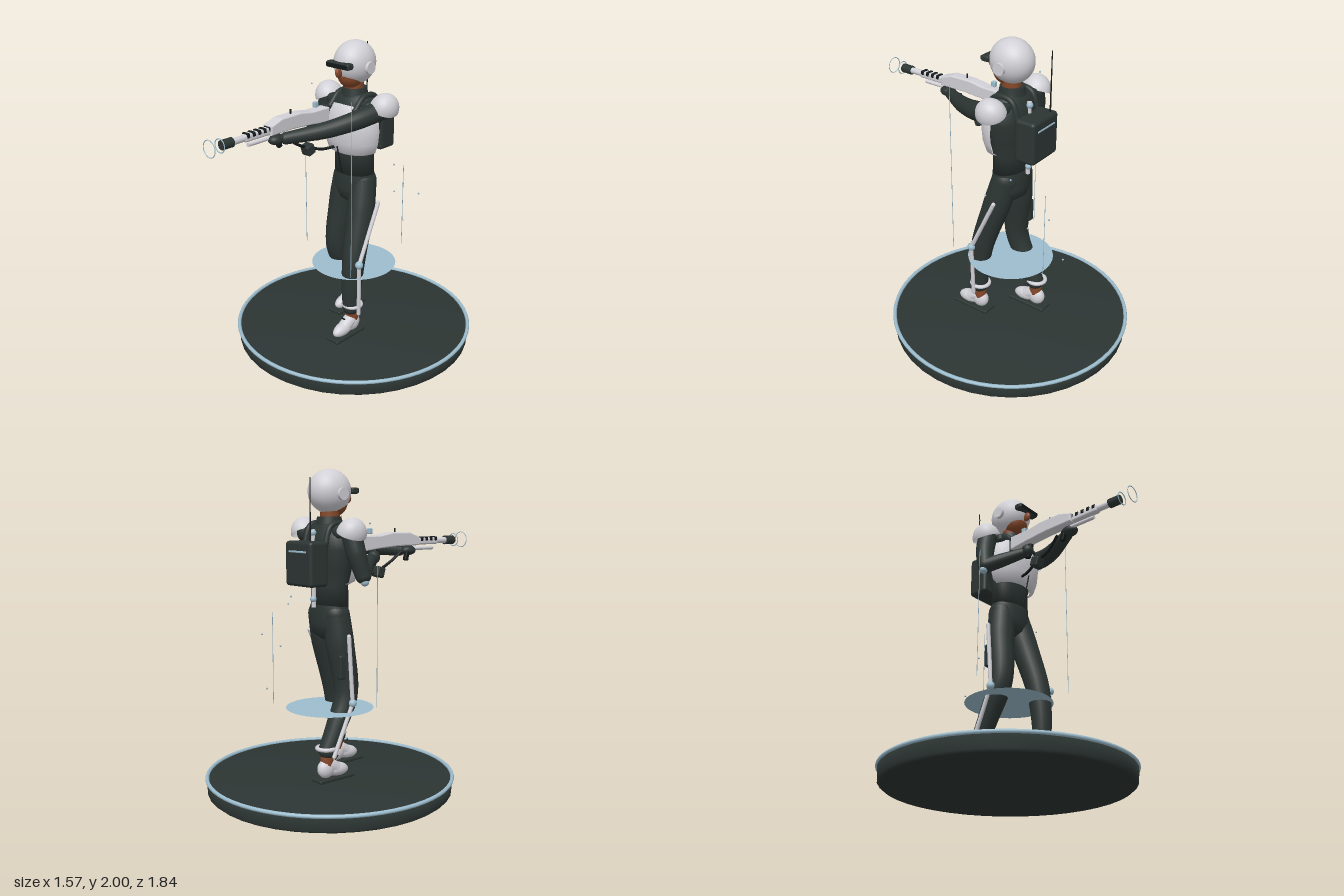
import * as THREE from 'three';
import { RoundedBoxGeometry } from 'three/addons/geometries/RoundedBoxGeometry.js';

const V = (a) => new THREE.Vector3(a[0], a[1], a[2]);

export function createModel() {
  const model = new THREE.Group();
  model.name = 'armouredFigureOnStand';
  const paint = (name, color, side = THREE.FrontSide) => {
    const m = new THREE.MeshStandardMaterial({ color, side });
    m.name = name;
    return m;
  };
  const suit = paint('darkSuit', 0x2c3533);
  const armour = paint('whiteArmour', 0xd0d0d6, THREE.DoubleSide);
  const blue = paint('paleBlue', 0x9cbccd, THREE.DoubleSide);
  const skin = paint('brownSkin', 0x84472a);
  const black = paint('black', 0x14191a);

  // Helpers: placed mesh, ellipsoid, straight rod, tapered limb, box, ring
  const add = (name, geo, mat, pos = [0, 0, 0], rot = [0, 0, 0]) => {
    const mesh = new THREE.Mesh(geo, mat);
    mesh.name = name;
    mesh.position.set(...pos);
    mesh.rotation.set(...rot);
    model.add(mesh);
    return mesh;
  };
  const ball = (name, mat, pos, r, rot) => {
    const s = Array.isArray(r) ? r : [r, r, r];
    return add(name, new THREE.SphereGeometry(1, 32, 20).scale(...s), mat, pos, rot);
  };
  const rod = (name, mat, a, b, r, r2 = r, seg = 16) => {
    const p = V(a), q = V(b), d = q.clone().sub(p);
    const mesh = add(name, new THREE.CylinderGeometry(r2, r, d.length(), seg), mat);
    mesh.position.copy(p).add(q).multiplyScalar(0.5);
    mesh.quaternion.setFromUnitVectors(new THREE.Vector3(0, 1, 0), d.normalize());
    return mesh;
  };
  const limb = (name, mat, pts) => {
    const curve = new THREE.CatmullRomCurve3(pts.map(V));
    const n = 32, sides = 20, geo = new THREE.TubeGeometry(curve, n, 1, sides);
    const pos = geo.attributes.position, v = new THREE.Vector3();
    for (let i = 0; i < pos.count; i++) {
      const u = Math.floor(i / (sides + 1)) / n;
      const c = curve.getPointAt(u), f = curve.getUtoTmapping(u) * (pts.length - 1);
      const k = Math.min(Math.floor(f), pts.length - 2);
      const r = THREE.MathUtils.lerp(pts[k][3], pts[k + 1][3], f - k);
      v.fromBufferAttribute(pos, i).sub(c).multiplyScalar(r).add(c);
      pos.setXYZ(i, v.x, v.y, v.z);
    }
    geo.computeVertexNormals();
    add(name, geo, mat);
    for (const p of [pts[0], pts[pts.length - 1]]) ball(name + 'End', mat, p, p[3]);
  };
  const box = (name, mat, pos, size, r = 0.008, rot) =>
    add(name, new RoundedBoxGeometry(...size, 3, r), mat, pos, rot);
  const ring = (name, mat, pos, R, r, rot) =>
    add(name, new THREE.TorusGeometry(R, r, 10, 64), mat, pos, rot);
  const lathe = (name, mat, pts, pos, sz, start = 0, len = Math.PI * 2) =>
    add(name, new THREE.LatheGeometry(pts.map((p) => new THREE.Vector2(...p)), 40, start, len).scale(1, 1, sz), mat, pos);
  const flat = [Math.PI / 2, 0, 0];
  const cz = -0.133;

  // Stand with pale rim, and the scanning disc around the knees
  lathe('standDisc', suit, [[0, 0], [0.75, 0], [0.768, 0.015], [0.774, 0.1], [0, 0.105]], [0, 0, cz], 1);
  ring('standRim', blue, [0, 0.103, cz], 0.771, 0.012, flat);
  add('scanDisc', new THREE.CircleGeometry(0.275, 64), blue, [0, 0.53, cz], [-Math.PI / 2, 0, 0]);

  // Light streaks and drifting specks
  for (const [x, z, y0, y1] of [[-0.365, -0.065, 0.585, 1.435], [0.23, 0.153, 0.595, 1.72], [0.13, -0.471, 0.58, 1.145]])
    rod('lightStreak', blue, [x, y0, z], [x, y1, z], 0.002, 0.002, 6);
  for (const p of [[-0.335, 1.68, -0.1], [0.205, 1.22, -0.275], [0.345, 1.155, -0.195], [0.275, 0.99, -0.45], [0.065, 0.945, -0.46], [0.06, 0.7, -0.567]])
    ball('speck', blue, p, 0.006);

  // Head: skin, helmet, visor, ear discs
  ball('face', skin, [0, 1.8, -0.095], [0.08, 0.085, 0.085]);
  ball('helmet', armour, [0, 1.866, -0.13], [0.122, 0.134, 0.139]);
  ball('nose', skin, [0, 1.825, 0.01], [0.016, 0.032, 0.03]);
  box('visor', suit, [0, 1.87, 0.005], [0.18, 0.038, 0.055], 0.012);
  box('visorGlass', black, [0, 1.87, 0.033], [0.165, 0.024, 0.008], 0.003);
  for (const s of [-1, 1])
    add('earDisc', new THREE.CylinderGeometry(0.037, 0.037, 0.03, 32), armour, [s * 0.12, 1.85, -0.127], [0, 0, Math.PI / 2]);
  rod('neck', skin, [0, 1.64, -0.13], [0, 1.77, -0.125], 0.06);
  rod('collar', suit, [0, 1.64, cz], [0, 1.715, cz], 0.088, 0.074, 32);

  // Torso, chest plate, pelvis
  lathe('torso', suit, [[0, 1.16], [0.14, 1.17], [0.138, 1.3], [0.165, 1.4], [0.185, 1.52], [0.175, 1.6], [0.13, 1.66], [0.07, 1.69], [0, 1.69]], [0, 0, cz], 0.7);
  lathe('chestPlate', armour, [[0.14, 1.31], [0.175, 1.325], [0.198, 1.39], [0.207, 1.47], [0.197, 1.55], [0.16, 1.61], [0.11, 1.64]], [0, 0, -0.125], 0.75, -Math.PI / 2, Math.PI);
  lathe('pelvis', suit, [[0, 0.96], [0.06, 0.965], [0.125, 1.0], [0.152, 1.07], [0.142, 1.17], [0.13, 1.2]], [0, 0, -0.135], 0.7);
  rod('frontCable', black, [0, 1.19, -0.015], [0, 1.37, 0.028], 0.004);
  box('yoke', suit, [0, 1.62, cz], [0.36, 0.07, 0.15], 0.03);

  // Spine tube with joints, backpack, aerial
  rod('spineTube', armour, [0, 1.17, -0.255], [0, 1.64, -0.255], 0.014);
  for (const y of [1.22, 1.62]) ball('spineJoint', blue, [0, y, -0.258], 0.02);
  box('backpack', suit, [0, 1.437, -0.308], [0.255, 0.27, 0.138], 0.022);
  box('packStripe', blue, [0, 1.51, -0.377], [0.17, 0.012, 0.007], 0.003);
  rod('aerial', black, [-0.085, 1.55, -0.345], [-0.085, 1.945, -0.345], 0.005, 0.003, 8);
  for (const s of [-1, 1])
    limb('packStrap', suit, [[s * 0.1, 1.52, -0.25, 0.018], [s * 0.1, 1.66, -0.2, 0.018], [s * 0.1, 1.67, -0.1, 0.018], [s * 0.1, 1.6, -0.02, 0.018]]);

  // Shoulder domes, tilted outward
  for (const s of [-1, 1]) {
    const dome = new THREE.SphereGeometry(1, 32, 14, 0, Math.PI * 2, 0, Math.PI / 2).scale(0.086, 0.1, 0.095);
    add('shoulderPad', dome, armour, [s * 0.222, 1.613, -0.145], [0, 0, -s * 0.42]);
  }

  // Arms and gloves
  limb('leftArm', suit, [[0.215, 1.61, -0.14, 0.062], [0.16, 1.57, 0.02, 0.058], [0.06, 1.525, 0.19, 0.05], [-0.07, 1.495, 0.39, 0.036]]);
  ball('leftGlove', suit, [-0.1, 1.495, 0.44], [0.042, 0.032, 0.055]);
  limb('rightUpperArm', suit, [[-0.22, 1.61, -0.14, 0.062], [-0.25, 1.5, -0.13, 0.06], [-0.277, 1.37, -0.1, 0.048]]);
  limb('rightForearm', suit, [[-0.277, 1.37, -0.1, 0.048], [-0.21, 1.41, -0.02, 0.044], [-0.135, 1.455, 0.09, 0.034]]);
  ball('rightGlove', suit, [-0.125, 1.465, 0.12], [0.038, 0.042, 0.042]);
  ball('elbowJoint', blue, [-0.292, 1.335, -0.1], 0.026);

  // Legs: s = side, dz = shift of knee, shin and foot
  const leg = (name, s, kneeZ, shinZ, ankleZ, footZ, strutKnee) => {
    limb(name, suit, [[s * 0.07, 1.12, -0.138, 0.085], [s * 0.092, 0.95, (kneeZ - 0.138 * 2.2) / 3.2, 0.088], [s * 0.118, 0.63, kneeZ, 0.074], [s * 0.122, 0.44, shinZ, 0.064], [s * 0.122, 0.3, ankleZ, 0.056]]);
    rod(name + 'Ankle', skin, [s * 0.122, 0.2, ankleZ - 0.01], [s * 0.122, 0.28, ankleZ], 0.04);
    ring(name + 'Cuff', armour, [s * 0.124, 0.315, ankleZ - 0.01], 0.057, 0.013, flat);
    // Boot: heel, toe and sole
    ball(name + 'BootToe', armour, [s * 0.122, 0.168, footZ + 0.025], [0.043, 0.043, 0.09], [0.15, 0, 0]);
    ball(name + 'BootHeel', armour, [s * 0.122, 0.185, footZ - 0.055], [0.043, 0.06, 0.06]);
    limb(name + 'BootShaft', armour, [[s * 0.122, 0.18, footZ + 0.01, 0.042], [s * 0.122, 0.205, footZ - 0.03, 0.042], [s * 0.122, 0.215, footZ - 0.055, 0.038]]);
    box(name + 'Sole', suit, [s * 0.122, 0.119, footZ], [0.1, 0.022, 0.272], 0.008);
    rod(name + 'BootTab', black, [s * 0.122, 0.225, footZ + 0.01], [s * 0.122, 0.25, footZ + 0.04], 0.005);
    // Outer strut with knee joint
    const hip = [s * 0.195, 1.0, -0.14], knee = [s * 0.194, ...strutKnee], foot = [s * 0.187, 0.27, ankleZ];
    limb(name + 'UpperStrut', armour, [[...hip, 0.013], [...knee, 0.013]]);
    limb(name + 'LowerStrut', armour, [[...knee, 0.013], [...foot, 0.013]]);
    ball(name + 'KneeJoint', blue, knee, 0.026);
  };
  leg('leftLeg', 1, 0.0, 0.025, 0.028, 0.077, [0.625, 0.035]);
  leg('rightLeg', -1, -0.1, -0.18, -0.25, -0.207, [0.585, -0.11]);
  box('thighPouch', suit, [-0.15, 0.81, -0.15], [0.05, 0.15, 0.08], 0.012);

  // Long gun, pointing forward
  const gx = -0.12, gy = 1.552;
  const gunRod = (name, mat, z0, z1, r, y = gy) => rod(name, mat, [gx, y, z0], [gx, y, z1], r, r, 24);
  const side = new THREE.Shape([[0.01, 1.51], [0.15, 1.525], [0.3, 1.535], [0.48, 1.535], [0.48, 1.578], [0.4, 1.605], [0.25, 1.606], [0.15, 1.59], [0.01, 1.59]].map((p) => new THREE.Vector2(...p)));
  const body = new THREE.ExtrudeGeometry(side, { depth: 0.05, bevelSize: 0.008, bevelThickness: 0.012, bevelSegments: 3 });
  add('gunBody', body.translate(0, 0, -0.025).rotateY(-Math.PI / 2), armour, [gx, 0, 0]);
  box('gunStockPad', suit, [gx, 1.55, 0.0], [0.06, 0.11, 0.03], 0.01);
  gunRod('barrel', armour, 0.45, 0.77, 0.02);
  gunRod('muzzle', suit, 0.757, 0.832, 0.029);
  gunRod('underTube', armour, 0.45, 0.64, 0.012, 1.506);
  box('handguard', armour, [gx, 1.552, 0.565], [0.045, 0.045, 0.22], 0.012);
  for (let i = 0; i < 5; i++)
    box('vent', black, [gx, 1.566, 0.483 + i * 0.042], [0.05, 0.026, 0.022], 0.004);
  box('foreGrip', black, [gx, 1.465, 0.405], [0.03, 0.07, 0.03], 0.008, [0.25, 0, 0]);
  box('triggerGrip', black, [gx, 1.46, 0.13], [0.03, 0.1, 0.04], 0.01, [0.3, 0, 0]);
  rod('frontSight', black, [gx, 1.6, 0.3], [gx, 1.64, 0.3], 0.005);
  box('rearSight', blue, [gx, 1.625, 0.09], [0.025, 0.035, 0.03], 0.005);
  ring('flashRing', blue, [gx, gy, 0.843], 0.04, 0.003);
  ring('flashRing', blue, [gx, gy, 0.917], 0.05, 0.0025);

  // Power cable with its junction box
  const path = [[-0.12, 1.49, 0.36], [-0.1, 1.42, 0.27], [-0.1, 1.375, 0.17], [-0.07, 1.35, 0.08], [-0.04, 1.355, 0]];
  add('powerCable', new THREE.TubeGeometry(new THREE.CatmullRomCurve3(path.map(V)), 32, 0.009, 10), black);
  box('junctionBox', suit, [-0.1, 1.368, 0.18], [0.07, 0.065, 0.06], 0.01, [0.3, 0, 0]);

  return model;
}
